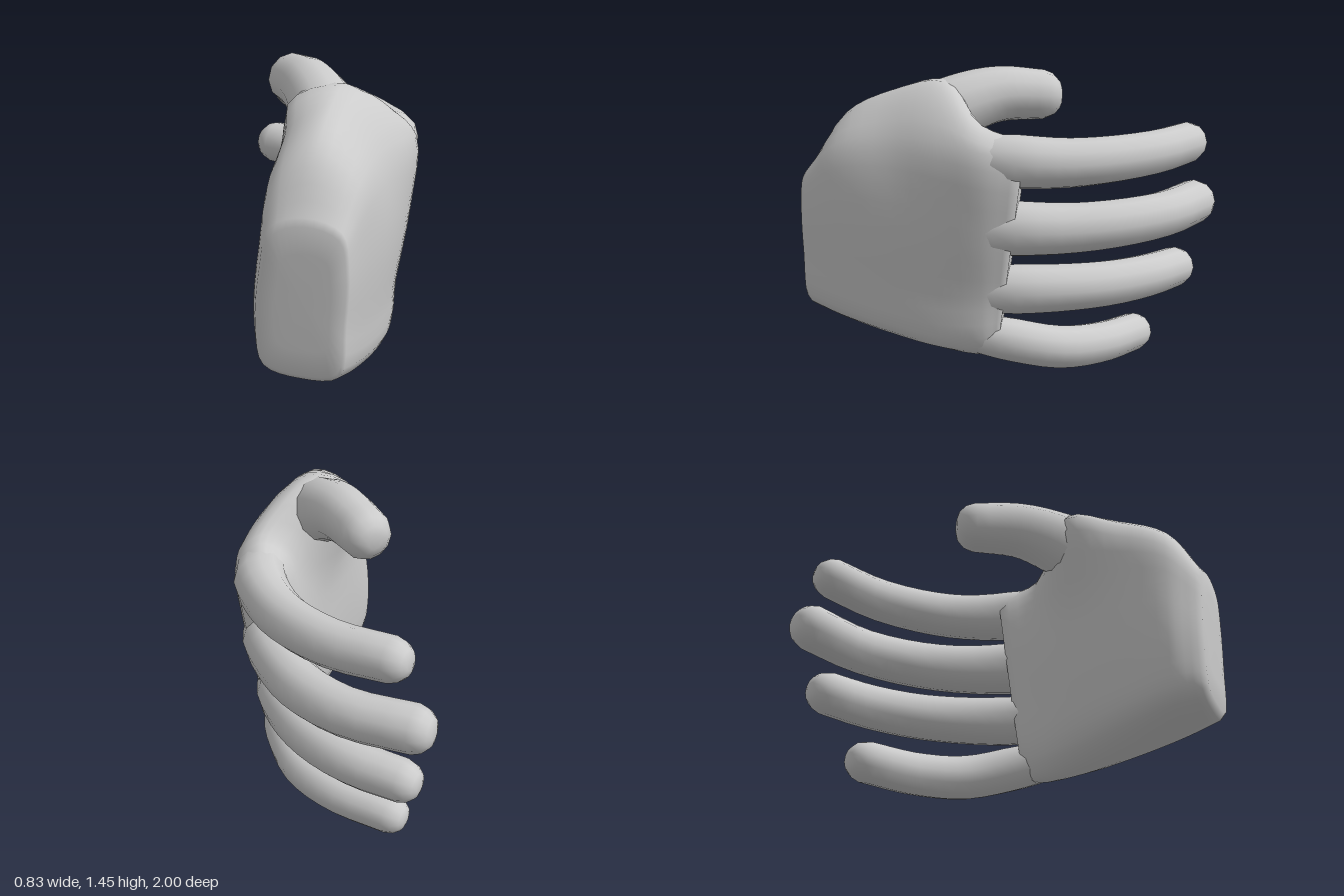
import * as THREE from 'three';

const V = (x, y, z) => new THREE.Vector3(x, y, z);
const material = new THREE.MeshStandardMaterial({ color: 0xcccccc });

// Skin a list of equal-sized rings and close both ends with a fan.
function loft(name, rings) {
  const n = rings[0].length, last = rings.length - 1;
  const positions = [], index = [];
  const centre = ring => ring.reduce((s, p) => s.add(p), V(0, 0, 0)).divideScalar(n);
  for (const p of [...rings.flat(), centre(rings[0]), centre(rings[last])]) positions.push(p.x, p.y, p.z);
  const start = n * rings.length, end = start + 1;
  for (let j = 0; j < n; j++) {
    const k = (j + 1) % n;
    index.push(start, j, k, end, last * n + k, last * n + j);
    for (let i = 0; i < last; i++) {
      const a = i * n + j, b = i * n + k;
      index.push(a, a + n, b, b, a + n, b + n);
    }
  }
  const geometry = new THREE.BufferGeometry();
  geometry.setAttribute('position', new THREE.Float32BufferAttribute(positions, 3));
  geometry.setIndex(index);
  geometry.computeVertexNormals();
  const mesh = new THREE.Mesh(geometry, material);
  mesh.name = name;
  return mesh;
}

// A bent finger: path points [x, y, z, radius], finished with a blunt rounded tip.
function finger(name, path) {
  const curve = new THREE.CatmullRomCurve3(path.map(p => V(p[0], p[1], p[2])));
  const sides = 12, steps = 14, rings = [];
  const addRing = (t, offset, scale) => {
    const f = t * (path.length - 1), i = Math.min(Math.floor(f), path.length - 2);
    const r = scale * THREE.MathUtils.lerp(path[i][3], path[i + 1][3], f - i);
    const dir = curve.getTangent(t);
    const c = curve.getPoint(t).addScaledVector(dir, offset);
    const right = dir.clone().cross(V(0, 1, 0)).normalize();
    const up = right.clone().cross(dir);
    rings.push(Array.from({ length: sides }, (_, j) => {
      const a = j / sides * Math.PI * 2;
      return c.clone().addScaledVector(right, r * Math.cos(a)).addScaledVector(up, r * Math.sin(a));
    }));
  };
  for (let i = 0; i <= steps; i++) addRing(i / steps, 0, 1);
  addRing(1, 0.045, 0.86);
  addRing(1, 0.075, 0.6);
  addRing(1, 0.085, 0.3);
  return loft(name, rings);
}

// Palm outlines from wrist to knuckles: up the back, over the thumb side, down the palm.
const palmSections = [
  { z: 0.97, tilt: 0.23, outline: [[0.04, 0.31], [0.07, 0.55], [0.08, 0.8], [0.05, 0.95], [-0.1, 1.0],
    [-0.24, 0.95], [-0.29, 0.75], [-0.31, 0.5], [-0.28, 0.33], [-0.12, 0.285]] },
  { z: 0.8, tilt: 0.1, outline: [[0.1, 0.26], [0.14, 0.5], [0.16, 0.85], [0.12, 1.1], [-0.05, 1.23],
    [-0.23, 1.13], [-0.29, 0.85], [-0.32, 0.5], [-0.28, 0.31], [-0.1, 0.245]] },
  { z: 0.55, tilt: 0, outline: [[0.19, 0.21], [0.23, 0.45], [0.26, 0.85], [0.2, 1.15], [0, 1.345],
    [-0.19, 1.24], [-0.21, 0.9], [-0.21, 0.5], [-0.17, 0.28], [0, 0.185]] },
  { z: 0.3, tilt: 0, outline: [[0.25, 0.17], [0.29, 0.42], [0.34, 0.8], [0.32, 1.14], [0.07, 1.39],
    [-0.17, 1.32], [-0.08, 0.9], [-0.07, 0.5], [-0.03, 0.23], [0.1, 0.13]] },
  { z: 0.1, tilt: 0, outline: [[0.27, 0.17], [0.31, 0.42], [0.37, 0.75], [0.39, 1.1], [0.27, 1.21],
    [0.14, 1.14], [0.07, 0.9], [0.05, 0.5], [0.06, 0.2], [0.14, 0.1]] },
  { z: -0.03, tilt: 0, shear: 0.14, outline: [[0.24, 0.2], [0.29, 0.42], [0.35, 0.74], [0.37, 1.06], [0.28, 1.14],
    [0.19, 1.09], [0.14, 0.85], [0.1, 0.5], [0.09, 0.22], [0.15, 0.13]] },
];

function palm() {
  const around = 40, along = 20;
  const keys = palmSections.map(({ z, tilt, shear = 0, outline }) =>
    new THREE.CatmullRomCurve3(outline.map(([x, y]) =>
      V(x, y, z + tilt * (x - 0.05) - shear * (y - 0.6))), true));
  const lines = Array.from({ length: around }, (_, j) =>
    new THREE.CatmullRomCurve3(keys.map(k => k.getPoint(j / around))));
  const rings = Array.from({ length: along + 1 }, (_, i) => lines.map(l => l.getPoint(i / along)));
  // Bevelled flat end at the wrist
  const c = rings[0].reduce((s, p) => s.add(p), V(0, 0, 0)).divideScalar(around);
  for (const [scale, dz] of [[0.92, 0.025], [0.6, 0.03]])
    rings.unshift(lines.map(l => l.getPoint(0).lerp(c, 1 - scale).add(V(0, 0, dz))));
  return loft('palm', rings);
}

export function createModel() {
  const hand = new THREE.Group();
  hand.name = 'hand';
  hand.add(
    palm(),
    finger('thumb', [[0, 1.12, 0.5, 0.15], [-0.02, 1.24, 0.3, 0.16], [-0.1, 1.315, 0.08, 0.135], [-0.19, 1.31, -0.15, 0.12]]),
    finger('indexFinger', [[0.24, 1.05, 0.2, 0.11], [0.285, 1.05, -0.04, 0.125], [0.24, 1.04, -0.27, 0.115],
      [0.16, 1.045, -0.46, 0.11], [0.0, 1.06, -0.68, 0.105], [-0.22, 1.08, -0.85, 0.1]]),
    finger('middleFinger', [[0.22, 0.73, 0.2, 0.12], [0.25, 0.735, -0.04, 0.13], [0.2, 0.73, -0.29, 0.12],
      [0.11, 0.74, -0.52, 0.115], [-0.06, 0.755, -0.74, 0.11], [-0.32, 0.77, -0.9, 0.11]]),
    finger('ringFinger', [[0.18, 0.43, 0.2, 0.11], [0.2, 0.435, -0.04, 0.12], [0.15, 0.435, -0.27, 0.115],
      [0.05, 0.435, -0.48, 0.11], [-0.1, 0.44, -0.67, 0.105], [-0.29, 0.44, -0.81, 0.1]]),
    finger('littleFinger', [[0.18, 0.22, 0.18, 0.09], [0.18, 0.185, -0.01, 0.105], [0.11, 0.13, -0.24, 0.105],
      [-0.04, 0.11, -0.44, 0.1], [-0.27, 0.1, -0.61, 0.095]]),
  );
  return hand;
}
